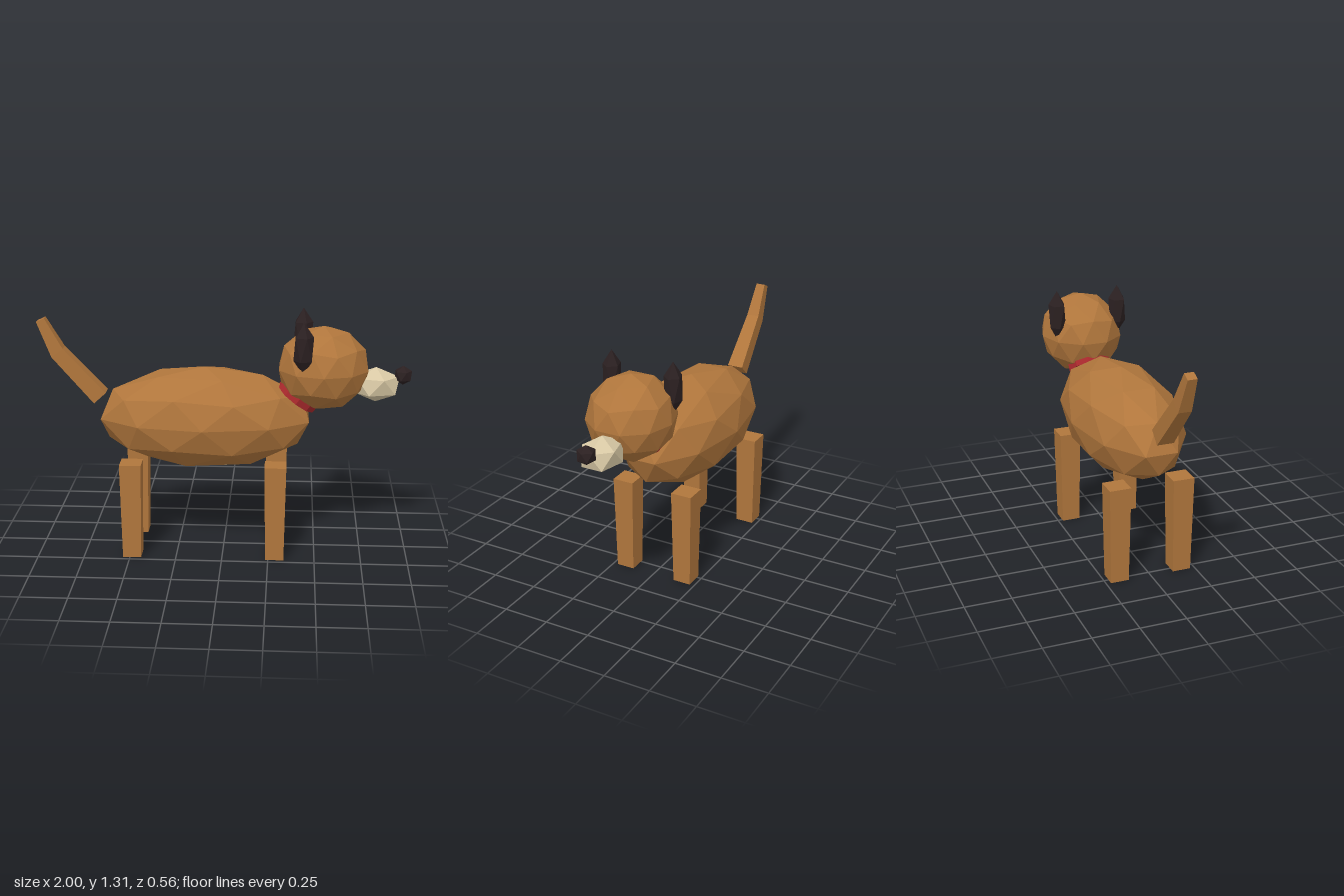
import * as THREE from 'three';

const mat = (name, color) => {
  const m = new THREE.MeshStandardMaterial({ color, flatShading: true });
  m.name = name;
  return m;
};

export function createModel() {
  const group = new THREE.Group();
  const fur = mat('brown fur', 0xb0763c);
  const cream = mat('cream fur', 0xd8c8a4);
  const dark = mat('dark brown', 0x2b2021);
  const red = mat('collar red', 0xa8282c);

  const add = (name, geometry, material, x = 0, y = 0, z = 0) => {
    const mesh = new THREE.Mesh(geometry, material);
    mesh.name = name;
    mesh.position.set(x, y, z);
    group.add(mesh);
    return mesh;
  };

  // Faceted ball with a vertex at the top, stretched along each axis
  const ball = (rx, ry, rz, detail) =>
    new THREE.IcosahedronGeometry(1, detail)
      .rotateZ(-Math.atan(2 / (1 + Math.sqrt(5))))
      .scale(rx, ry, rz);

  // Body, belly and head
  add('body', ball(0.587, 0.28, 0.28, 1), fur, -0.1, 0.74, 0);
  add('belly', ball(0.3, 0.18, 0.15, 1), cream, -0.02, 0.64, 0);
  add('head', ball(0.247, 0.2275, 0.2275, 1), fur, 0.53, 1.022, 0);
  add('muzzle', ball(0.14, 0.095, 0.107, 0), cream, 0.81, 0.935, 0);
  add('nose', ball(0.052, 0.052, 0.052, 0), dark, 0.953, 0.987, 0);

  // Collar tilted along the neck
  const collar = add('collar', new THREE.CylinderGeometry(0.12, 0.12, 0.05, 10), red, 0.4, 0.87, 0);
  collar.rotation.z = -Math.atan2(0.6, 0.8);

  // Ears and tapered square legs, mirrored across z
  for (const [side, s] of [['right', 1], ['left', -1]]) {
    add(side + 'Ear', ball(0.0585, 0.14, 0.052, 0), dark, 0.422, 1.167, s * 0.176);
    for (const [end, x] of [['front', 0.285], ['rear', -0.488]]) {
      const leg = new THREE.CylinderGeometry(0.082, 0.07, 0.53, 4).rotateY(Math.PI / 4);
      add(end + side[0].toUpperCase() + side.slice(1) + 'Leg', leg, fur, x, 0.265, s * 0.175);
    }
  }

  // Tail: square sections [centre x, centre y, half width, half depth, section angle]
  const sections = [
    [-0.666, 0.845, 0.0435, 0.045, 0.74],
    [-0.89, 1.09, 0.039, 0.035, 0.65],
    [-0.976, 1.266, 0.024, 0.025, 0.45],
  ];
  const tail = new THREE.BoxGeometry(2, 2, 2, 1, 2, 1);
  const p = tail.attributes.position;
  for (let i = 0; i < p.count; i++) {
    const [cx, cy, w, d, a] = sections[Math.round(p.getY(i)) + 1];
    const u = p.getX(i) * w;
    p.setXYZ(i, cx + u * Math.cos(a), cy + u * Math.sin(a), p.getZ(i) * d);
  }
  tail.computeVertexNormals();
  add('tail', tail, fur);

  return group;
}
